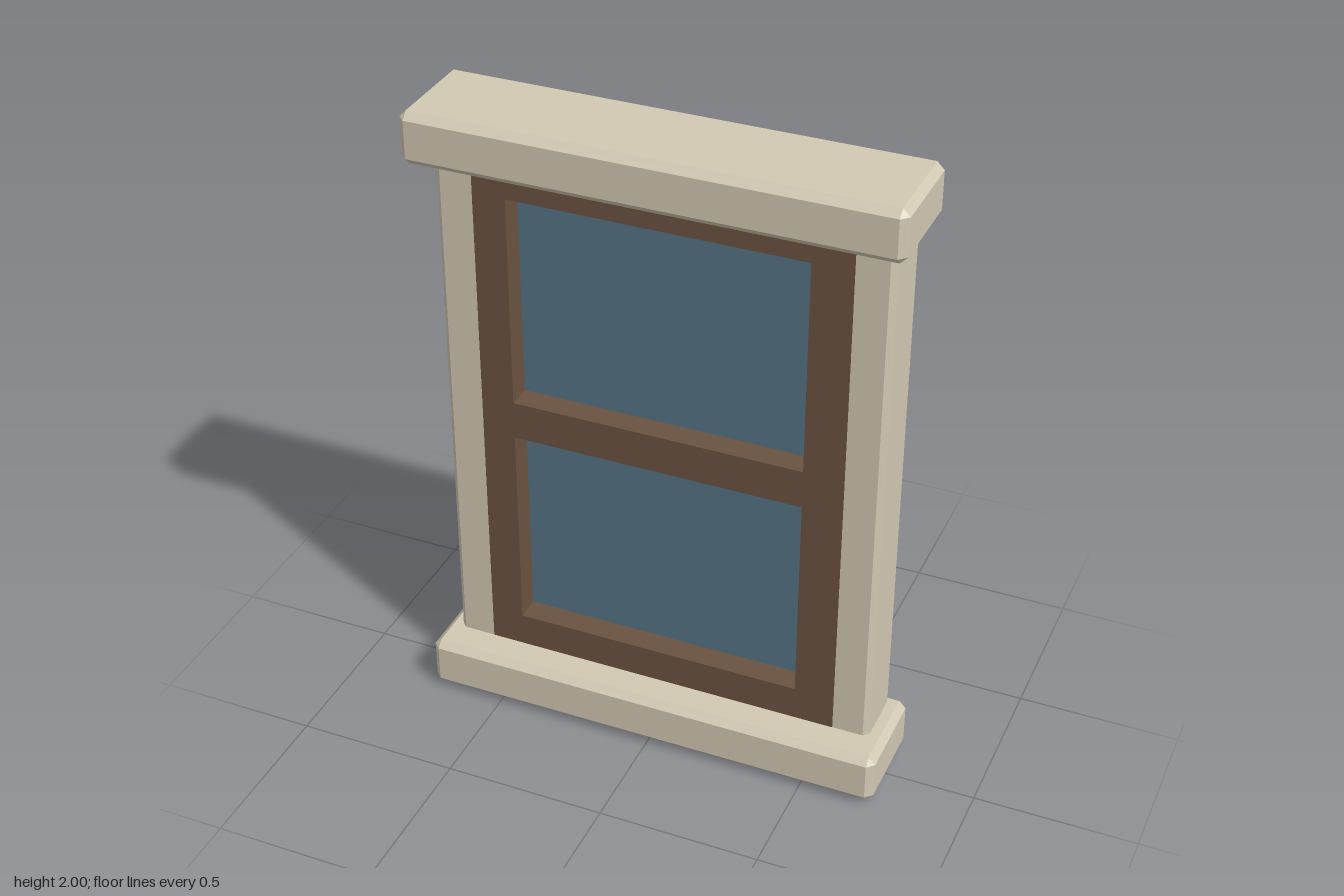
import * as THREE from 'three';
import { ConvexGeometry } from 'three/addons/geometries/ConvexGeometry.js';

const material = (name, color) => {
  const m = new THREE.MeshStandardMaterial({ color });
  m.name = name;
  return m;
};

// Box with every edge chamfered by c, given as min and max corners
function chamferedBox(min, max, c) {
  const centre = min.map((v, i) => (v + max[i]) / 2);
  const half = min.map((v, i) => (max[i] - v) / 2);
  const points = [];
  for (const sx of [-1, 1]) for (const sy of [-1, 1]) for (const sz of [-1, 1])
    for (let full = 0; full < 3; full++) {
      const p = [sx, sy, sz].map((s, i) => centre[i] + s * (half[i] - (i === full ? 0 : c)));
      points.push(new THREE.Vector3(...p));
    }
  return new ConvexGeometry(points);
}

// Traces a rectangle on a Shape or Path
function rectangle(path, x0, y0, x1, y1) {
  path.moveTo(x0, y0);
  path.lineTo(x1, y0);
  path.lineTo(x1, y1);
  path.lineTo(x0, y1);
  path.closePath();
  return path;
}

export function createModel() {
  const model = new THREE.Group();
  model.name = 'sashWindow';
  const stone = material('cream stone', 0xd2c9b4);
  const wood = material('brown wood', 0x6a5341);
  const pane = material('blue glass', 0x567386);

  const add = (name, geometry, mat) => {
    const mesh = new THREE.Mesh(geometry, mat);
    mesh.name = name;
    model.add(mesh);
  };

  // Sill and lintel
  add('sill', chamferedBox([-0.73, 0.01, -0.162], [0.73, 0.172, 0.162], 0.022), stone);
  add('lintel', chamferedBox([-0.73, 1.84, -0.162], [0.73, 2, 0.162], 0.022), stone);

  // Side posts, whose feet show just below the sill
  add('rightPost', chamferedBox([-0.682, 0, -0.14], [-0.545, 1.92, 0.054], 0.017), stone);
  add('leftPost', chamferedBox([0.54, 0, -0.14], [0.676, 1.92, 0.054], 0.017), stone);

  // Sash frame with two openings
  const x0 = -0.463, x1 = 0.44;
  const openings = [[0.28, 0.945], [1.066, 1.737]];
  const outline = rectangle(new THREE.Shape(), -0.565, 0.1, 0.563, 1.9);
  for (const [y0, y1] of openings) outline.holes.push(rectangle(new THREE.Path(), x0, y0, x1, y1));
  const frame = new THREE.ExtrudeGeometry(outline, { depth: 0.171, bevelEnabled: false });
  frame.translate(0, 0, -0.116);
  add('sashFrame', frame, wood);

  // Glass panes, let slightly into the frame
  openings.forEach(([y0, y1], i) => {
    const glass = new THREE.BoxGeometry(x1 - x0 + 0.02, y1 - y0 + 0.02, 0.058);
    glass.translate((x0 + x1) / 2, (y0 + y1) / 2, -0.051);
    add(i ? 'upperPane' : 'lowerPane', glass, pane);
  });

  return model;
}
